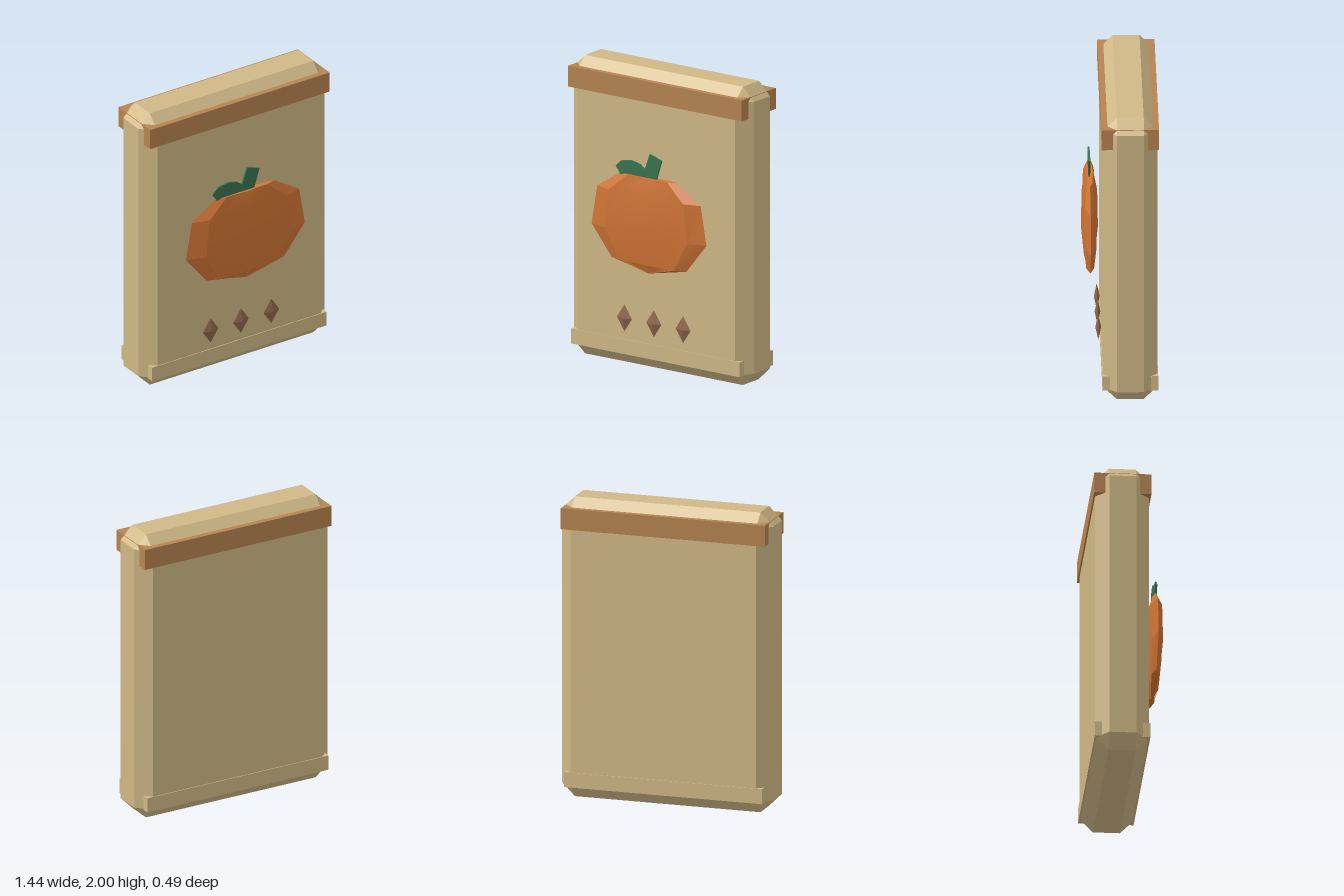
import * as THREE from 'three';
import { toCreasedNormals } from 'three/addons/utils/BufferGeometryUtils.js';
import { ConvexGeometry } from 'three/addons/geometries/ConvexGeometry.js';

const material = (name, color) => Object.assign(new THREE.MeshStandardMaterial({ color }), { name });

// Box with every edge cut at 45 degrees
function chamferedBox(w, h, d, c) {
  const points = [];
  for (const sx of [-1, 1]) for (const sy of [-1, 1]) for (const sz of [-1, 1]) {
    const x = w / 2, y = h / 2, z = d / 2;
    points.push(
      new THREE.Vector3(sx * x, sy * (y - c), sz * (z - c)),
      new THREE.Vector3(sx * (x - c), sy * y, sz * (z - c)),
      new THREE.Vector3(sx * (x - c), sy * (y - c), sz * z));
  }
  return new ConvexGeometry(points);
}

// Flattened pumpkin lofted through rows of [y, outer half width, ridge half width, half depth]
function pumpkinGeometry() {
  const rows = [
    [0.68, 0, 0, 0.012], [0.74, 0.3, 0.22, 0.036], [0.94, 0.46, 0.33, 0.055],
    [1.2, 0.415, 0.3, 0.05], [1.32, 0.225, 0.155, 0.026],
  ];
  const n = 12, positions = [], index = [];
  for (const [y, outer, ridge, d] of rows) {
    // Ring runs from the +x tip over the front to the -x tip and round the back
    const half = [[outer, 0], [ridge, d * 0.72], [ridge * 0.72, d * 0.66], [0, d]];
    const front = [...half, ...half.slice(0, 3).reverse().map(([x, z]) => [-x, z])];
    const back = front.slice(1, 6).reverse().map(([x, z]) => [x, -z]);
    for (const [x, z] of [...front, ...back]) positions.push(x, y, z);
  }
  for (let r = 0; r < rows.length - 1; r++) for (let i = 0; i < n; i++) {
    const a = r * n + i, b = r * n + (i + 1) % n;
    index.push(a, a + n, b, b, a + n, b + n);
  }
  // Flat top
  const top = (rows.length - 1) * n;
  positions.push(0, 1.32, 0);
  for (let i = 0; i < n; i++) index.push(rows.length * n, top + (i + 1) % n, top + i);
  const geometry = new THREE.BufferGeometry();
  geometry.setAttribute('position', new THREE.Float32BufferAttribute(positions, 3));
  geometry.setIndex(index);
  // Reverse the winding so that faces point outwards
  for (let i = 0; i < index.length; i += 3) {
    geometry.index.setX(i, index[i + 1]);
    geometry.index.setX(i + 1, index[i]);
  }
  // The cap and sides share the same order, so restore the sides' order by facing
  const p = geometry.attributes.position, c = new THREE.Vector3(0, 1, 0);
  const v = [0, 1, 2].map(() => new THREE.Vector3());
  for (let i = 0; i < index.length; i += 3) {
    const id = [0, 1, 2].map((k) => geometry.index.getX(i + k));
    id.forEach((j, k) => v[k].fromBufferAttribute(p, j));
    const normal = v[1].clone().sub(v[0]).cross(v[2].clone().sub(v[0]));
    if (normal.dot(v[0].clone().add(v[1]).add(v[2]).divideScalar(3).sub(c)) < 0) {
      geometry.index.setX(i + 1, id[2]);
      geometry.index.setX(i + 2, id[1]);
    }
  }
  return toCreasedNormals(geometry, 0.27);
}

export function createModel() {
  const model = new THREE.Group();
  model.name = 'pumpkinPanel';
  const tan = material('tan', 0xd0b886);
  const brown = material('brown', 0xb68350);
  const orange = material('orange', 0xd07434);
  const green = material('green', 0x38734f);
  const darkBrown = material('darkBrown', 0x8d664a);

  const add = (name, geometry, mat, x, y, z) => {
    const mesh = new THREE.Mesh(geometry, mat);
    mesh.name = name;
    mesh.position.set(x, y, z);
    model.add(mesh);
    return mesh;
  };

  // Slab with its top and bottom bands
  add('slab', chamferedBox(1.44, 2, 0.35, 0.088), tan, 0, 1, -0.06);
  add('topBand', new THREE.BoxGeometry(1.39, 0.14, 0.37), brown, 0, 1.87, -0.06);
  add('bottomBand', new THREE.BoxGeometry(1.35, 0.1, 0.36), tan, 0, 0.13, -0.06);

  // Pumpkin
  add('pumpkin', pumpkinGeometry(), orange, 0, 0, 0.19);

  // Stalk and leaf
  const flat = (points) => new THREE.ExtrudeGeometry(
    new THREE.Shape(points.map(([x, y]) => new THREE.Vector2(x, y))),
    { depth: 0.012, bevelEnabled: false });
  add('stalk', flat([[-0.045, 1.31], [0.06, 1.31], [0.105, 1.45], [0.01, 1.48], [-0.03, 1.37]]),
    green, 0, 0, 0.186);
  add('leaf', flat([[-0.23, 1.31], [-0.04, 1.31], [-0.03, 1.37], [-0.07, 1.4], [-0.14, 1.415],
    [-0.22, 1.4], [-0.262, 1.36], [-0.23, 1.32]]), green, 0, 0, 0.186);

  // Row of diamond studs
  for (const x of [-0.235, 0, 0.235]) {
    add('diamondStud', new THREE.OctahedronGeometry(1), darkBrown, x, 0.33, 0.138)
      .scale.set(0.06, 0.09, 0.019);
  }
  return model;
}
